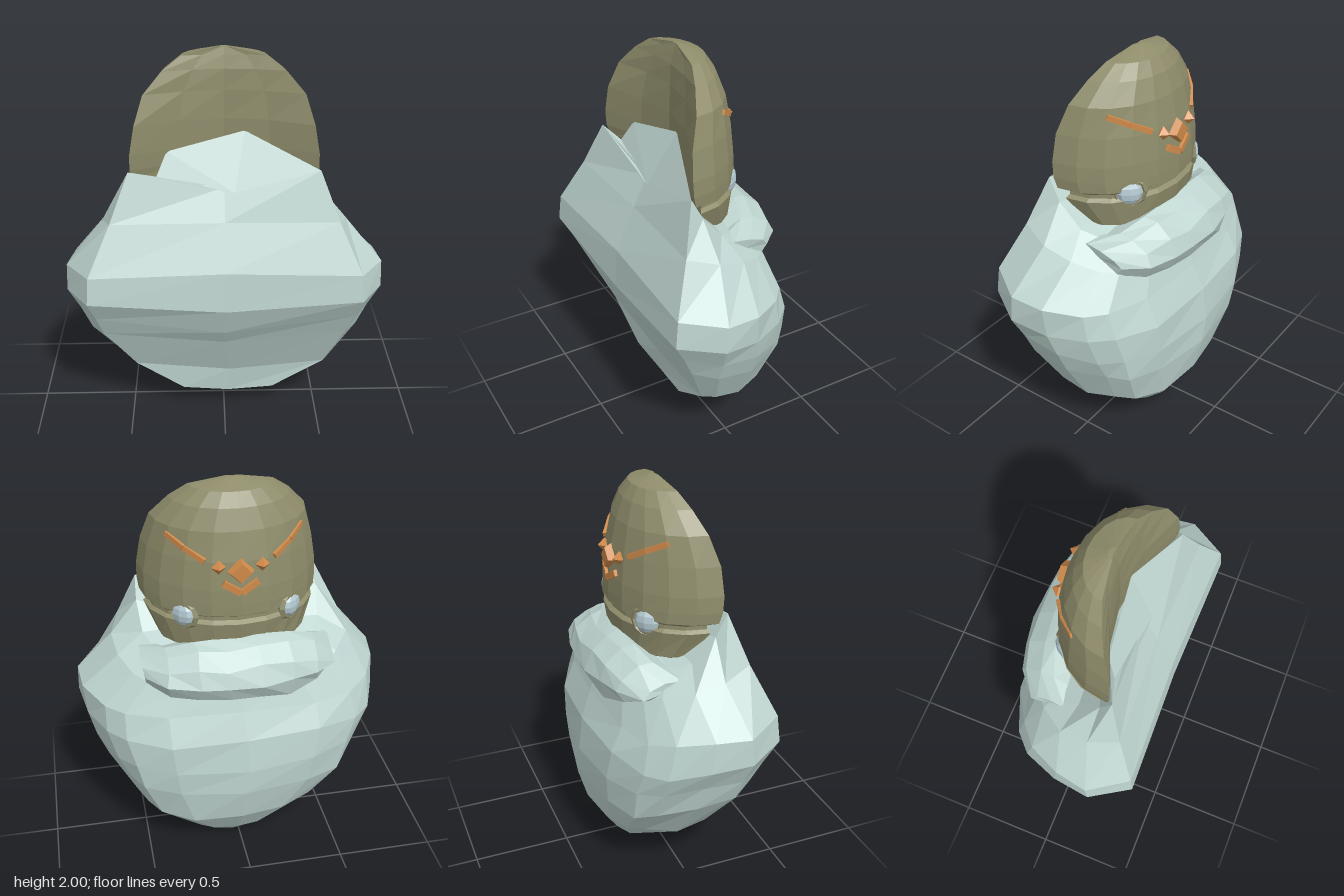
import * as THREE from 'three';

const paint = (name, color, side = THREE.FrontSide) => {
  const m = new THREE.MeshStandardMaterial({ color, side, flatShading: true });
  m.name = name;
  return m;
};

// Small seeded noise for the rough facets
let seed = 7;
const jitter = (a) => {
  seed = (seed * 16807) % 2147483647;
  return (seed / 2147483647 - 0.5) * 2 * a;
};

function fromTriangles(tris) {
  const g = new THREE.BufferGeometry();
  g.setAttribute('position', new THREE.Float32BufferAttribute(tris.flat(2), 3));
  g.computeVertexNormals();
  return g;
}

// Skin closed cross-sections and cap both ends
function loft(rings) {
  const tris = [], n = rings[0].length;
  const mid = (r) => [0, 1, 2].map((k) => r.reduce((s, p) => s + p[k], 0) / n);
  const first = rings[0], last = rings[rings.length - 1];
  const c0 = mid(first), c1 = mid(last);
  for (let j = 0; j < n; j++) {
    const k = (j + 1) % n;
    for (let i = 0; i < rings.length - 1; i++) {
      const a = rings[i][j], b = rings[i][k], c = rings[i + 1][k], d = rings[i + 1][j];
      tris.push([a, b, c], [a, c, d]);
    }
    tris.push([c0, first[k], first[j]], [c1, last[j], last[k]]);
  }
  return fromTriangles(tris);
}

// Complete a ring from its +x half (first and last points lie on the middle)
const mirrorRing = (half) =>
  half.concat(half.slice(1, -1).reverse().map(([x, y, z]) => [-x, y, z]));

export function createModel() {
  const model = new THREE.Group();
  const beardMat = paint('beard grey', 0xbfd5d0);
  const sheetMat = paint('lining grey', 0xbfd5d0, THREE.DoubleSide);
  const maskMat = paint('olive', 0x8f8d6b);
  const orange = paint('orange', 0xd08a4a);
  const eyeMat = paint('eye blue grey', 0xb6cbd3);

  const add = (name, geo, mat, parent = model) => {
    const m = new THREE.Mesh(geo, mat);
    m.name = name;
    parent.add(m);
    return m;
  };

  // Beard: front y, back y, half width, front half width, front z, side z, back z,
  // centre x, front dip, steepness of the slope from front to back
  const beardRings = [
    [0.05, 0.0, 0.09, 0.05, 0.0, -0.05, -0.18, 0.04, 0, 1],
    [0.14, 0.06, 0.27, 0.24, 0.15, 0.04, -0.25, 0.02, 0.03, 1],
    [0.32, 0.24, 0.53, 0.5, 0.17, 0.1, -0.36, 0.03, 0.06, 1],
    [0.58, 0.42, 0.69, 0.62, 0.28, 0.17, -0.405, 0, 0.07, 1],
    [0.7, 0.58, 0.74, 0.65, 0.335, 0.18, -0.41, 0, 0.1, 1],
    [0.82, 0.74, 0.8, 0.68, 0.4, 0.2, -0.395, 0, 0.06, 1],
    [0.96, 0.88, 0.795, 0.67, 0.385, 0.19, -0.34, 0, -0.01, 1],
    [1.2, 1.03, 0.61, 0.56, 0.28, 0.13, -0.29, 0, 0, 1],
    [1.44, 1.15, 0.47, 0.465, 0.2, 0.14, -0.2, 0, 0.05, 3],
  ].map(([yf, yb, w, wf, zf, zs, zb, cx, dip, steep], i) => {
    const back = (f, t) => [w * f, 0, zs + (zb - zs) * t];
    const ring = mirrorRing([[0, 0, zf - 0.02], [wf, 0, zf], [w, 0, zs], back(0.97, 0.33),
      back(0.86, 0.64), back(0.74, 0.8), back(0.47, 0.94), [0, 0, zb]]);
    return ring.map(([x, , z], j) => {
      const y = yb + (yf - yb) * ((z - zb) / (zf - zb)) ** steep - (j === 0 ? dip : 0);
      const a = i > 0 && i < 8 && j > 2 && j < 12 ? 0.014 : 0;
      return [x + cx + jitter(a), y + jitter(a * 1.6), z + jitter(a * 0.6)];
    });
  });
  add('beard', loft(beardRings), beardMat);

  // Flat lining rising from the beard into the hollow of the mask
  const edge = [[0.05, 1.33, 0.208], [0.465, 1.44, 0.2], [0.1, 1.6, 0.07],
    [-0.28, 1.51, 0.11], [-0.33, 1.4, 0.16], [-0.46, 1.44, 0.2]];
  add('lining', fromTriangles([1, 2, 3, 4].map((i) => [edge[0], edge[i], edge[i + 1]])), sheetMat);

  // Moustache: overhanging lip, sections of y and z swept across x
  const lip = [[0.99, -0.2], [0.98, -0.35], [1.07, -0.385], [1.16, -0.35], [1.23, -0.27], [1.25, -0.2], [1.14, -0.02]];
  const sections = [[-0.48, 0.4, 0.16], [-0.38, 0.75, 0.06], [-0.23, 0.92, 0.02],
    [-0.08, 1.02, 0], [0.08, 1, 0], [0.22, 0.92, 0.02], [0.37, 0.75, 0.06], [0.48, 0.4, 0.16]];
  add('moustache', loft(sections.map(([x, s, dz]) => lip.map(([y, z]) =>
    [x + jitter(0.012), 1.09 + (y - 1.09) * s + jitter(0.014), z + dz + jitter(0.008)]))), beardMat);

  // Mask: crescent sections of y, half width, rim z, outer z, inner z
  const maskRings = [
    [1.16, 0.29, 0.0, -0.12, -0.02],
    [1.2, 0.375, 0.045, -0.2, 0.0],
    [1.335, 0.435, 0.13, -0.222, 0.04],
    [1.35, 0.415, 0.12, -0.2, 0.04],
    [1.37, 0.415, 0.12, -0.2, 0.04],
    [1.385, 0.45, 0.165, -0.225, 0.05],
    [1.44, 0.457, 0.18, -0.225, 0.05],
    [1.52, 0.455, 0.185, -0.222, 0.055],
    [1.66, 0.43, 0.175, -0.208, 0.055],
    [1.8, 0.385, 0.13, -0.178, 0.05],
    [1.9, 0.295, 0.085, -0.142, 0.045],
    [1.965, 0.205, 0.05, -0.1, 0.03],
    [2.0, 0.03, 0.025, -0.005, 0.02],
  ].map(([y, w, ze, zo, zi]) => {
    const half = [[0, y, zi], [w * 0.5, y, zi + (ze - zi) * 0.3]];
    for (let i = 5; i >= 0; i--) {
      const t = (i / 5) * Math.PI / 2;
      half.push([w * Math.sin(t), y, ze + (zo - ze) * Math.cos(t)]);
    }
    return mirrorRing(half);
  });
  add('mask', loft(maskRings), maskMat);

  // Bar between two points
  const bar = (name, a, b, w, d) => {
    const p = new THREE.Vector3(...a), q = new THREE.Vector3(...b);
    const m = add(name, new THREE.BoxGeometry(w, d, p.distanceTo(q)), orange);
    m.position.copy(p).add(q).multiplyScalar(0.5);
    m.lookAt(q);
  };

  for (const s of [1, -1]) {
    const side = s > 0 ? 'left' : 'right';

    // Eyes with raised lids
    const eye = new THREE.Group();
    eye.name = side + 'Eye';
    eye.position.set(s * 0.27, 1.372, -0.127);
    eye.lookAt(s * 0.97, 1.39, -0.84);
    add('eyeball', new THREE.SphereGeometry(0.064, 8, 6), eyeMat, eye).scale.set(1, 0.95, 0.5);
    add('eyelid', new THREE.TorusGeometry(0.072, 0.018, 4, 10), maskMat, eye).position.z = -0.01;
    model.add(eye);

    // Brow stripe in two bars following the curve, chevron and side gem
    const browMid = [s * 0.253, 1.718, -0.118];
    bar(side + 'OuterBrow', [s * 0.325, 1.765, -0.04], browMid, 0.024, 0.026);
    bar(side + 'InnerBrow', browMid, [s * 0.165, 1.665, -0.177], 0.024, 0.026);
    bar(side + 'Chevron', [s * 0.085, 1.56, -0.211], [0, 1.51, -0.224], 0.024, 0.032);
    const gem = add(side + 'Gem', new THREE.OctahedronGeometry(0.036), orange);
    gem.position.set(s * 0.105, 1.64, -0.202);
  }

  // Centre gem
  const centre = add('centreGem', new THREE.CylinderGeometry(0.05, 0.07, 0.045, 4, 1), orange);
  centre.rotation.x = -Math.PI / 2;
  centre.position.set(0, 1.615, -0.217);

  return model;
}
